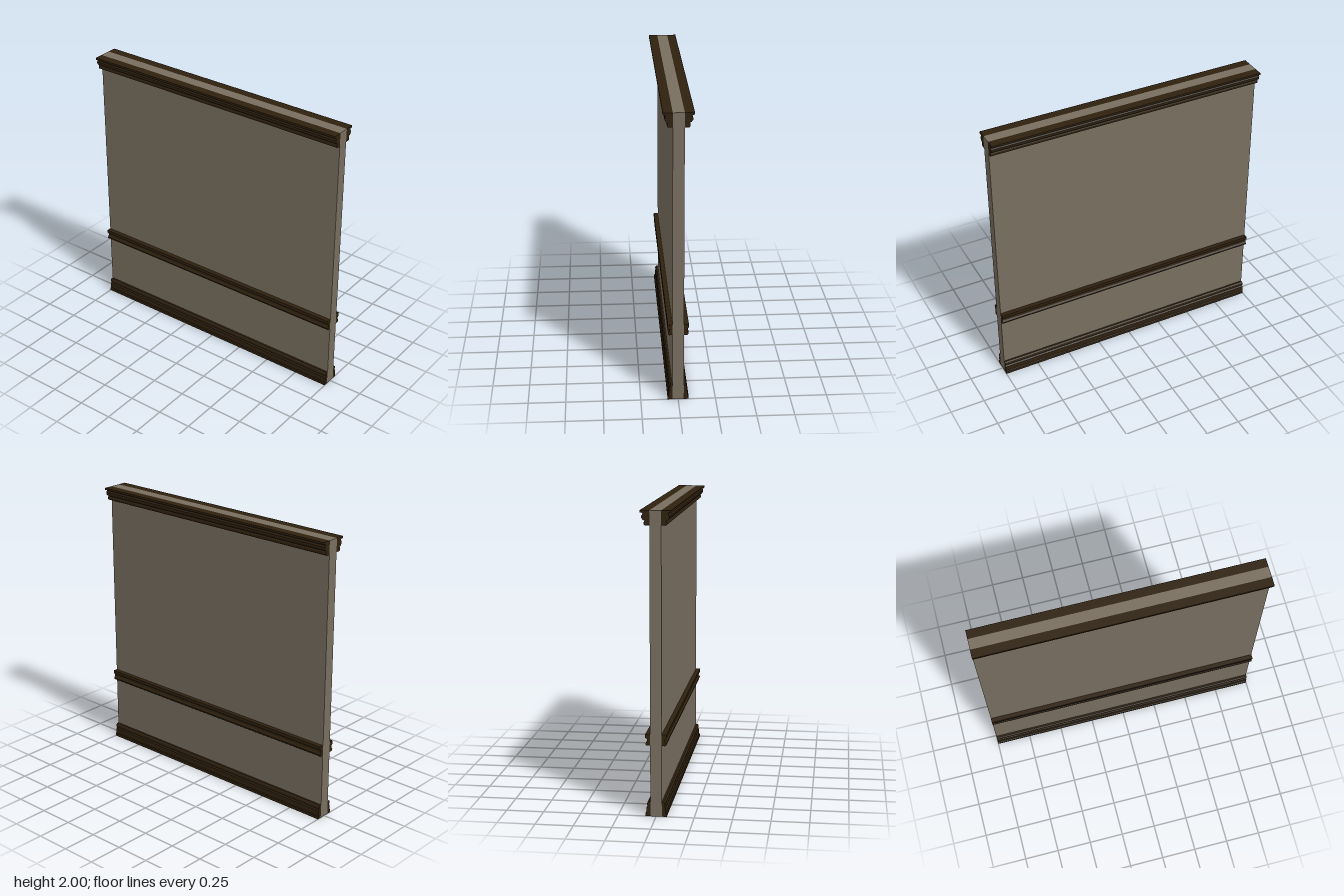
import * as THREE from 'three';

const HALF = 0.0375; // half the wall thickness

// Moulding outlines as [distance from wall centre, height], bottom to top
const profiles = {
  skirting: [[0.07, 0], [0.07, 0.02], [0.063, 0.024], [0.062, 0.06], [0.053, 0.068],
    [0.058, 0.074], [0.06, 0.083], [0.057, 0.094], [0.05, 0.1]],
  chairRail: [[0.06, 0.477], [0.067, 0.482], [0.068, 0.492], [0.06, 0.502], [0.057, 0.512],
    [0.06, 0.522], [0.07, 0.53], [0.07, 0.553]],
  crown: [[0.065, 1.905], [0.073, 1.91], [0.073, 1.925], [0.068, 1.935], [0.08, 1.94],
    [0.089, 1.953], [0.089, 1.966], [0.081, 1.977], [0.083, 1.984], [0.1, 1.986], [0.1, 2]],
};

// Sweeps an outline along the full wall length
function mouldingGeometry(points) {
  const shape = new THREE.Shape();
  shape.moveTo(HALF, points[0][1]);
  points.forEach(([d, y]) => shape.lineTo(d, y));
  shape.lineTo(HALF, points[points.length - 1][1]);
  shape.closePath();
  const geometry = new THREE.ExtrudeGeometry(shape, { depth: 2, bevelEnabled: false });
  geometry.translate(0, 0, -1);
  geometry.rotateY(-Math.PI / 2);
  return geometry;
}

export function createModel() {
  const plaster = new THREE.MeshStandardMaterial({ color: 0x786e5f });
  plaster.name = 'plaster';
  const darkWood = new THREE.MeshStandardMaterial({ color: 0x2f210f });
  darkWood.name = 'darkWood';

  const model = new THREE.Group();
  model.name = 'wallPanel';

  // Wall slab
  const wall = new THREE.Mesh(new THREE.BoxGeometry(2, 2, HALF * 2), plaster);
  wall.name = 'wall';
  wall.position.y = 1;
  model.add(wall);

  // Mouldings on the front and back
  for (const [name, points] of Object.entries(profiles)) {
    const geometry = mouldingGeometry(points);
    for (const side of ['Front', 'Back']) {
      const moulding = new THREE.Mesh(geometry, darkWood);
      moulding.name = name + side;
      if (side === 'Back') moulding.rotation.y = Math.PI;
      model.add(moulding);
    }
  }
  return model;
}
